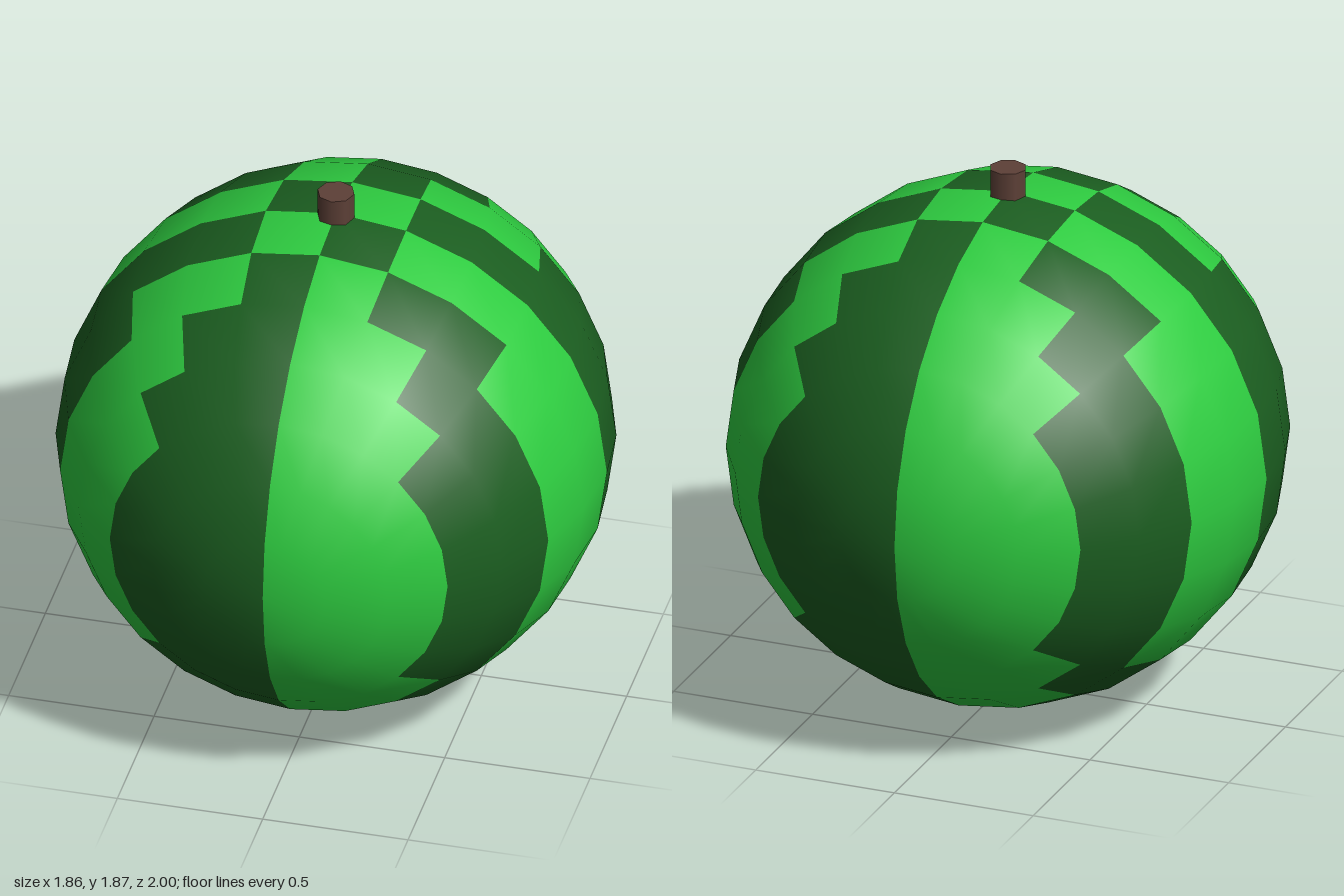
import * as THREE from 'three';

const SEGMENTS = 24, RINGS = 14;
const RADIUS = { x: 0.932, y: 0.893, z: 1 };

// Ellipsoid with its poles on the z axis
function makeBody() {
  return new THREE.SphereGeometry(1, SEGMENTS, RINGS)
    .rotateX(Math.PI / 2)
    .scale(RADIUS.x, RADIUS.y, RADIUS.z);
}

// Keep only the body faces that belong to the light or dark stripes
function makeStripes(light) {
  const geometry = makeBody();
  const pos = geometry.attributes.position;
  const index = [];
  for (let r = 0; r < RINGS; r++) {
    for (let s = 0; s < SEGMENTS; s++) {
      const b = r * (SEGMENTS + 1) + s, a = b + 1;
      const c = b + SEGMENTS + 1, d = c + 1;
      let x = 0, z = 0;
      for (const i of [a, b, c, d]) {
        x += pos.getX(i);
        z += pos.getZ(i);
      }
      // Twelve sectors of 30 degrees around the vertical axis
      const isLight = Math.sin(6 * Math.atan2(x, z)) > 0;
      if (isLight !== light) continue;
      if (r > 0) index.push(a, b, d);
      if (r < RINGS - 1) index.push(b, c, d);
    }
  }
  geometry.setIndex(index);
  return geometry;
}

function addMesh(group, name, geometry, color, y) {
  const mesh = new THREE.Mesh(geometry, new THREE.MeshStandardMaterial({ color }));
  mesh.name = name;
  mesh.position.y = y;
  group.add(mesh);
}

export function createModel() {
  const group = new THREE.Group();
  group.name = 'watermelon';

  // Striped rind
  addMesh(group, 'lightStripes', makeStripes(true), 0x2ecc40, RADIUS.y);
  addMesh(group, 'darkStripes', makeStripes(false), 0x1b5e20, RADIUS.y);

  // Short stem on top
  addMesh(group, 'stem', new THREE.CylinderGeometry(0.063, 0.063, 0.13, 8), 0x5d4037, 1.808);

  return group;
}
